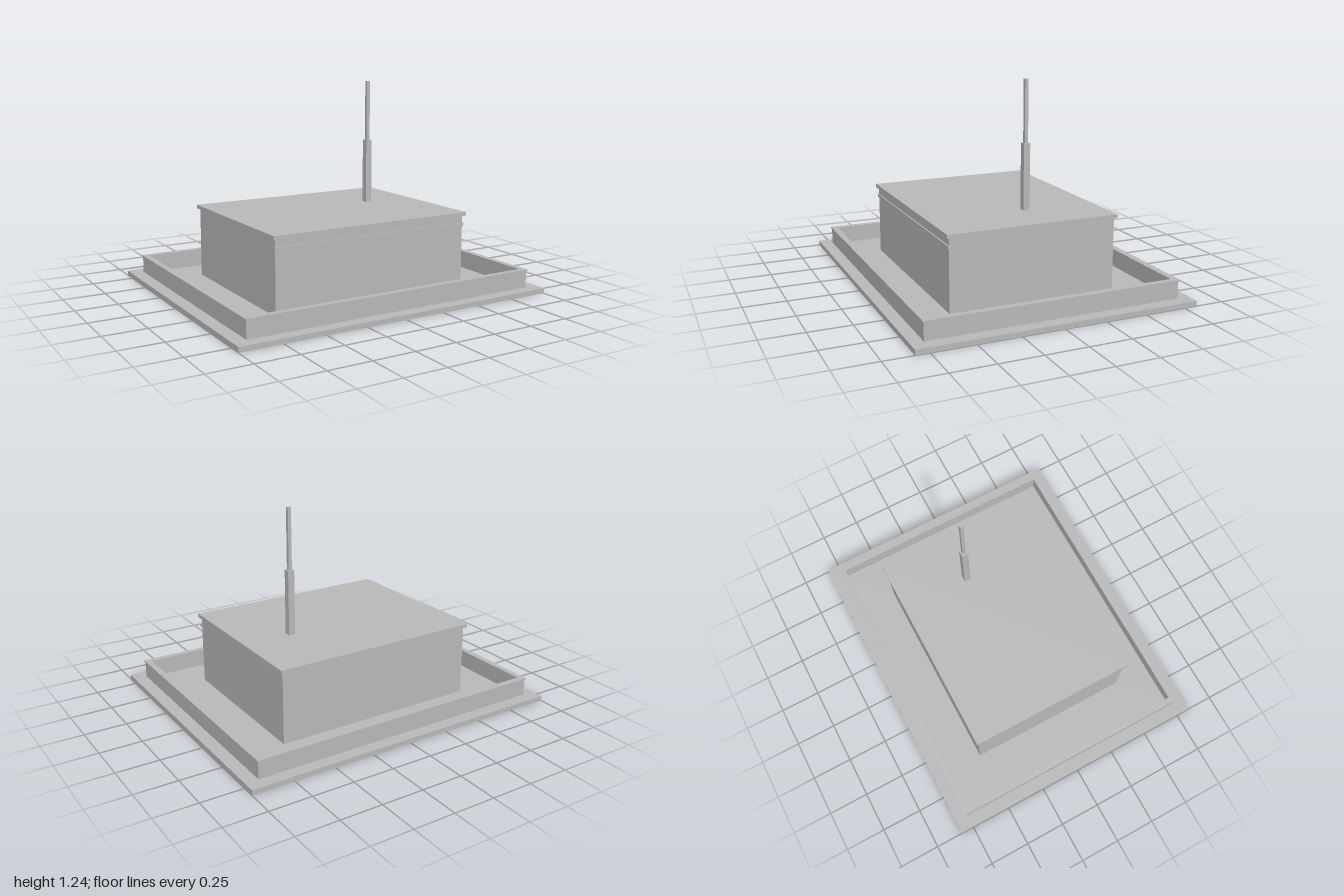
import * as THREE from 'three';

export function createModel() {
  const model = new THREE.Group();
  const grey = new THREE.MeshStandardMaterial({ color: 0xb8b8b8 });
  grey.name = 'plain grey';

  // Box from its width, depth, bottom and top heights, and centre
  function slab(name, w, d, y0, y1, x = 0, z = 0) {
    const mesh = new THREE.Mesh(new THREE.BoxGeometry(w, y1 - y0, d), grey);
    mesh.position.set(x, (y0 + y1) / 2, z);
    mesh.name = name;
    model.add(mesh);
  }

  // Rectangular frame, open in the middle
  function frame(name, w, d, t, y0, y1) {
    const rect = (path, a, b) =>
      path.moveTo(-a, -b).lineTo(a, -b).lineTo(a, b).lineTo(-a, b).closePath();
    const shape = rect(new THREE.Shape(), w / 2, d / 2);
    shape.holes.push(rect(new THREE.Path(), w / 2 - t, d / 2 - t));
    const geometry = new THREE.ExtrudeGeometry(shape, { depth: y1 - y0, bevelEnabled: false });
    geometry.rotateX(-Math.PI / 2);
    const mesh = new THREE.Mesh(geometry, grey);
    mesh.position.y = y0;
    mesh.name = name;
    model.add(mesh);
  }

  // Ground plate and low perimeter wall with its coping
  slab('basePlate', 2, 1.66, 0, 0.03);
  frame('perimeterWall', 1.845, 1.512, 0.027, 0.03, 0.132);
  frame('wallCoping', 1.857, 1.524, 0.037, 0.132, 0.14);

  // Main block, overhanging roof and front trim band
  slab('mainBlock', 1.258, 1.01, 0.03, 0.455);
  slab('roof', 1.29, 1.04, 0.455, 0.477);
  slab('frontBand', 1.27, 0.02, 0.394, 0.412, 0, 0.503);

  // Stepped square mast on the roof
  slab('mastLower', 0.04, 0.04, 0.477, 0.87, 0.334, -0.084);
  slab('mastUpper', 0.021, 0.021, 0.87, 1.237, 0.334, -0.084);

  return model;
}
